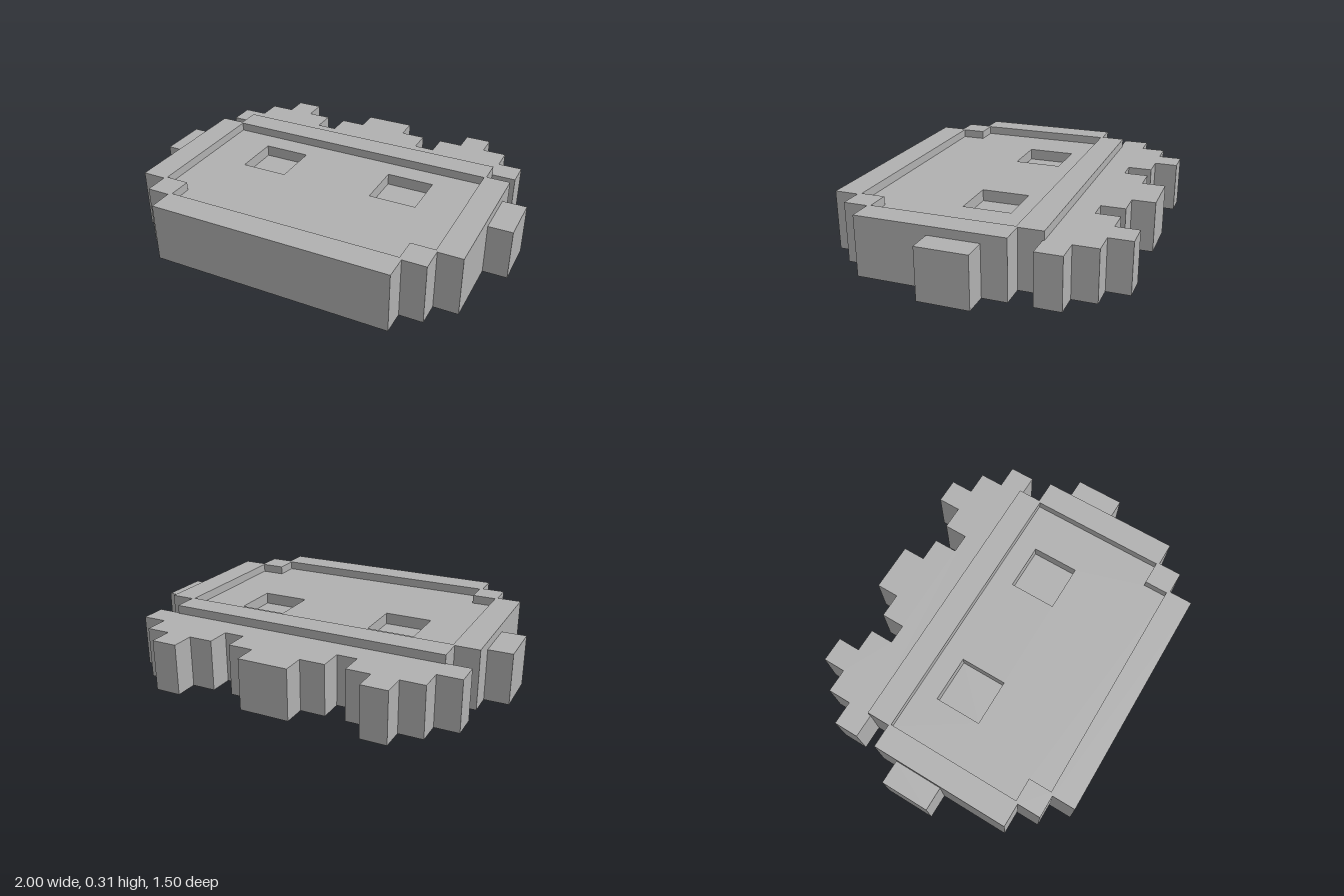
import * as THREE from 'three';

const gray = new THREE.MeshStandardMaterial({ color: 0xb0b0b0 });
gray.name = 'gray plastic';

// heights of the stepped levels
const FACE = 0.265, RIM = 0.31, EYE = 0.205, BORE = 0.16;

// outline points are (x, -z), counter-clockwise as seen from above
const outline = (list) => {
  const pts = list.map(([x, z]) => new THREE.Vector2(x, -z));
  return THREE.ShapeUtils.isClockWise(pts) ? pts.reverse() : pts;
};
// closes a +x half outline with its mirror image
const mirrored = (half) => outline([...half, ...half.map(([x, z]) => [-x, z]).reverse()]);
const rect = (x0, x1, z0, z1) => outline([[x0, z0], [x1, z0], [x1, z1], [x0, z1]]);

export function createModel() {
  const model = new THREE.Group();

  const add = (name, geometry) => {
    geometry.rotateX(-Math.PI / 2);
    const mesh = new THREE.Mesh(geometry, gray);
    mesh.name = name;
    model.add(mesh);
  };

  // flat horizontal surface with optional openings
  const cap = (name, pts, y, holes = [], down = false) => {
    const shape = new THREE.Shape(pts);
    holes.forEach((h) => shape.holes.push(new THREE.Path(h)));
    const g = new THREE.ShapeGeometry(shape);
    if (down) {
      g.index.array.reverse();
      g.attributes.normal.array.forEach((v, i, a) => { a[i] = -v; });
    }
    add(name, g.translate(0, 0, y));
  };

  // vertical band along an outline, facing outward or inward
  const wall = (name, pts, y0, y1, inward = false) => {
    const loop = inward ? [...pts].reverse() : pts;
    const pos = [];
    loop.forEach((a, i) => {
      const b = loop[(i + 1) % loop.length];
      pos.push(a.x, a.y, y0, b.x, b.y, y0, b.x, b.y, y1);
      pos.push(a.x, a.y, y0, b.x, b.y, y1, a.x, a.y, y1);
    });
    const g = new THREE.BufferGeometry();
    g.setAttribute('position', new THREE.Float32BufferAttribute(pos, 3));
    g.computeVertexNormals();
    add(name, g);
  };

  // stepped half outlines, from back to front
  const crownHalf = [
    [0.13, -0.75], [0.13, -0.63], [0.26, -0.63], [0.26, -0.505], [0.365, -0.505],
    [0.365, -0.63], [0.49, -0.63], [0.49, -0.75], [0.625, -0.75], [0.625, -0.63],
    [0.75, -0.63], [0.75, -0.505], [0.875, -0.505], [0.875, -0.372], [0.75, -0.372],
  ];
  const earHalf = [[0.875, -0.13], [1, -0.13], [1, 0.13], [0.875, 0.13]];
  const frontHalf = [[0.875, 0.5], [0.75, 0.5], [0.75, 0.625], [0.63, 0.625], [0.63, 0.75]];
  const sideStep = [[0.75, -0.255], [0.875, -0.255]];

  const silhouette = mirrored([...crownHalf, ...sideStep, ...earHalf, ...frontHalf]);
  const head = mirrored([[0.75, -0.38], ...sideStep, ...frontHalf]);
  const recess = mirrored([[0.74, -0.245], [0.74, 0.485], [0.615, 0.485], [0.615, 0.61]]);
  const eyes = [rect(-0.5, -0.25, -0.13, 0.12), rect(0.25, 0.5, -0.13, 0.12)];
  const bore = new THREE.Path().absarc(0, 0, 0.097, 0, Math.PI * 2).getPoints(24).slice(0, -1);

  // outer shell
  cap('underside', silhouette, 0, [bore], true);
  wall('outerWall', silhouette, 0, FACE);
  cap('crownTop', mirrored(crownHalf), FACE);
  cap('leftEarTop', rect(0.875, 1, -0.13, 0.13), FACE);
  cap('rightEarTop', rect(-1, -0.875, -0.13, 0.13), FACE);

  // raised rim around the face
  wall('rimOuterWall', head, FACE, RIM);
  wall('rimInnerWall', recess, FACE, RIM, true);
  cap('rimTop', head, RIM, [recess]);

  // sunken face with two square eye pockets
  cap('face', recess, FACE, eyes);
  eyes.forEach((eye, i) => {
    const side = i ? 'left' : 'right';
    wall(side + 'EyeWall', eye, EYE, FACE, true);
    cap(side + 'EyeFloor', eye, EYE);
  });

  // round blind hole underneath
  wall('boreWall', bore, 0, BORE, true);
  cap('boreEnd', bore, BORE, [], true);

  return model;
}
